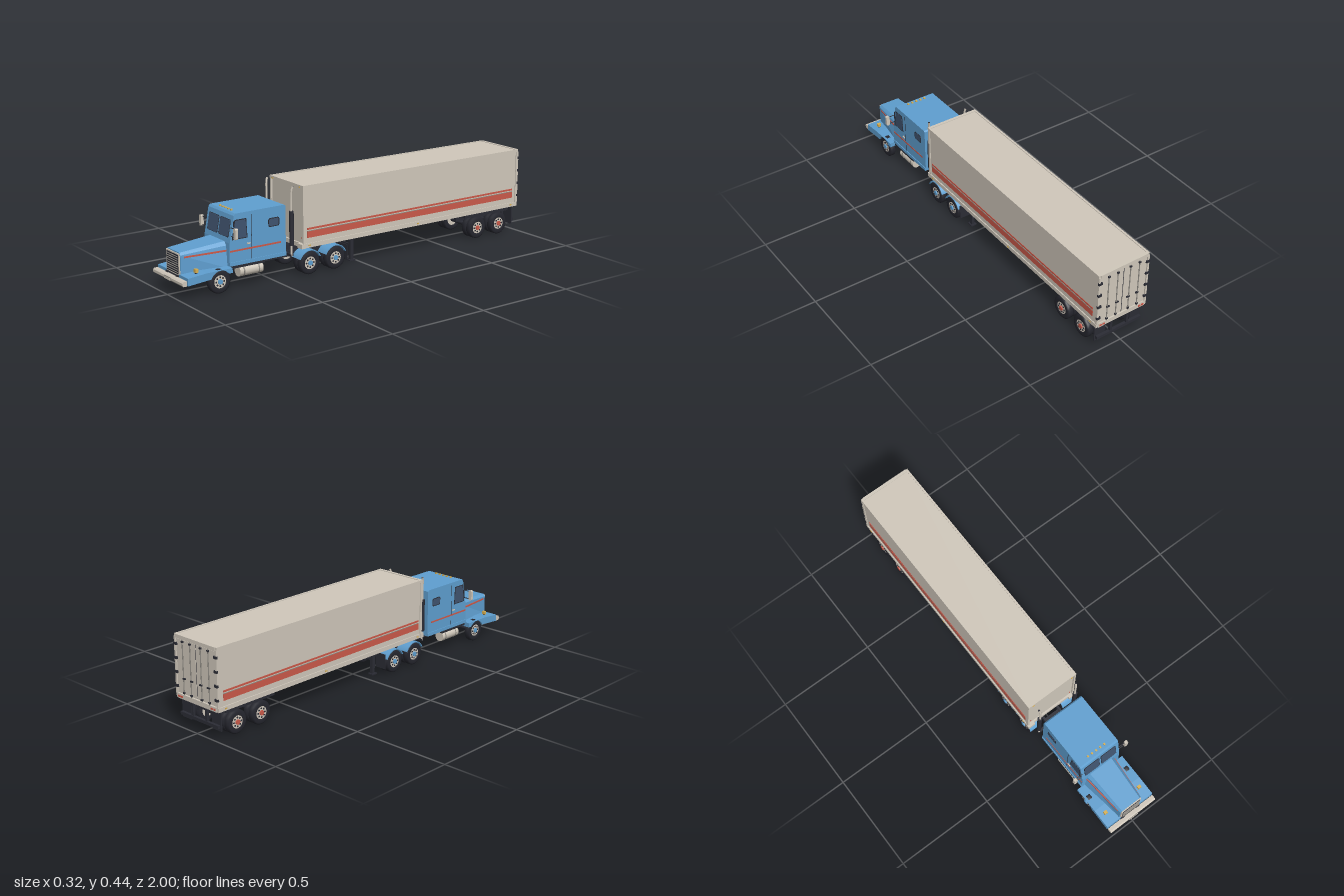
import * as THREE from 'three';

const mat = (name, color) => {
  const m = new THREE.MeshStandardMaterial({ color });
  m.name = name;
  return m;
};
const M = {
  blue: mat('cab blue', 0x5f9fd0), cream: mat('cream', 0xd0c8bb), black: mat('chassis black', 0x2b2c35),
  tyre: mat('tyre', 0x25262e), glass: mat('glass', 0x40546f), red: mat('red', 0xcb5a4a),
  amber: mat('amber', 0xd8b052), steel: mat('steel', 0x8f8b84),
};
const SIDES = [1, -1];

export function createModel() {
  const root = new THREE.Group();
  const add = (name, geo, material, x = 0, y = 0, z = 0) => {
    const m = new THREE.Mesh(geo, material);
    m.name = name;
    m.position.set(x, y, z);
    root.add(m);
    return m;
  };
  // box given by its limits
  const box = (name, m, x0, x1, y0, y1, z0, z1) =>
    add(name, new THREE.BoxGeometry(Math.abs(x1 - x0), y1 - y0, z1 - z0), m, (x0 + x1) / 2, (y0 + y1) / 2, (z0 + z1) / 2);
  const boxPair = (name, m, x0, x1, ...r) => SIDES.forEach(s => box(name, m, s * x0, s * x1, ...r));
  const rod = (name, m, axis, r, len, x, y, z, seg = 12) => {
    const g = new THREE.CylinderGeometry(r, r, len, seg);
    if (axis === 'x') g.rotateZ(Math.PI / 2);
    if (axis === 'z') g.rotateX(Math.PI / 2);
    return add(name, g, m, x, y, z);
  };
  // side outline in (z, y), as points or a Shape, extruded across x from x0 to x1
  const across = (name, m, outline, x0, x1) => {
    const shape = Array.isArray(outline) ? new THREE.Shape(outline.map(p => new THREE.Vector2(...p))) : outline;
    const g = new THREE.ExtrudeGeometry(shape, { depth: Math.abs(x1 - x0), bevelEnabled: false, curveSegments: 16 });
    g.rotateY(-Math.PI / 2);
    return add(name, g, m, Math.max(x0, x1), 0, 0);
  };
  const acrossPair = (name, m, outline, x0, x1) => SIDES.forEach(s => across(name, m, outline, s * x0, s * x1));
  const roundRect = (w, h, r, cx = 0, cy = 0) => {
    const s = new THREE.Shape(), a = w / 2 - r, b = h / 2 - r;
    s.absarc(cx + a, cy + b, r, 0, Math.PI / 2);
    s.absarc(cx - a, cy + b, r, Math.PI / 2, Math.PI);
    s.absarc(cx - a, cy - b, r, Math.PI, Math.PI * 1.5);
    s.absarc(cx + a, cy - b, r, Math.PI * 1.5, Math.PI * 2);
    return s;
  };
  // flat-faced solid between an (x, y) outline at z0 and a matching one at z1 > z0
  const loft = (name, m, z0, p0, z1, p1) => {
    const A = p0.map(p => new THREE.Vector2(...p)), B = p1.map(p => new THREE.Vector2(...p));
    if (THREE.ShapeUtils.area(A) < 0) { A.reverse(); B.reverse(); }
    const v = [], n = A.length;
    const put = (p, z) => v.push(p.x, p.y, z);
    for (let i = 0; i < n; i++) {
      const j = (i + 1) % n;
      put(A[i], z0); put(A[j], z0); put(B[j], z1);
      put(A[i], z0); put(B[j], z1); put(B[i], z1);
    }
    for (const [a, b, c] of THREE.ShapeUtils.triangulateShape(B, [])) {
      put(B[a], z1); put(B[b], z1); put(B[c], z1);
      put(A[a], z0); put(A[c], z0); put(A[b], z0);
    }
    const g = new THREE.BufferGeometry();
    g.setAttribute('position', new THREE.Float32BufferAttribute(v, 3));
    g.computeVertexNormals();
    return add(name, g, m);
  };

  // ---- trailer body
  box('trailerBody', M.cream, -0.136, 0.136, 0.14, 0.434, -0.985, 0.346);
  boxPair('topRail', M.cream, 0.13, 0.14, 0.425, 0.437, -0.992, 0.355);
  boxPair('bottomRail', M.cream, 0.128, 0.141, 0.137, 0.158, -0.992, 0.355);
  boxPair('frontPost', M.cream, 0.13, 0.14, 0.158, 0.425, 0.34, 0.354);
  boxPair('rearPost', M.cream, 0.13, 0.14, 0.158, 0.425, -0.995, -0.98);
  box('frontTopRail', M.cream, -0.13, 0.13, 0.425, 0.437, 0.34, 0.355);
  box('frontSill', M.cream, -0.13, 0.13, 0.137, 0.158, 0.34, 0.355);
  boxPair('frontCornerBlock', M.cream, 0.105, 0.142, 0.136, 0.158, 0.345, 0.365);
  box('rearTopRail', M.cream, -0.13, 0.13, 0.42, 0.437, -0.995, -0.98);
  box('rearSill', M.cream, -0.13, 0.13, 0.137, 0.16, -0.995, -0.98);
  boxPair('wideStripe', M.red, 0.135, 0.138, 0.184, 0.215, -0.96, 0.33);
  boxPair('thinStripe', M.red, 0.135, 0.138, 0.223, 0.232, -0.96, 0.33);
  boxPair('stripeEdge', M.steel, 0.135, 0.1375, 0.215, 0.218, -0.96, 0.33);

  // ---- rear doors and marker lights
  boxPair('rearDoor', M.cream, 0.002, 0.128, 0.163, 0.417, -0.991, -0.984);
  box('doorGap', M.black, -0.002, 0.002, 0.163, 0.417, -0.99, -0.984);
  for (const s of SIDES) {
    for (const x of [0.035, 0.085]) {
      rod('lockRod', M.steel, 'y', 0.0025, 0.262, s * x, 0.29, -0.994, 8);
      box('lockHandle', M.black, s * (x - 0.012), s * (x + 0.004), 0.235, 0.241, -0.998, -0.991);
      for (const y of [0.17, 0.41]) box('rodKeeper', M.black, s * (x - 0.005), s * (x + 0.005), y - 0.004, y + 0.004, -0.998, -0.991);
    }
    for (let i = 0; i < 4; i++) box('doorHinge', M.black, s * 0.122, s * 0.1415, 0.188 + i * 0.066, 0.2 + i * 0.066, -0.998, -0.988);
    for (const x of [0.095, 0.112]) box('tailLight', M.red, s * x, s * (x + 0.012), 0.144, 0.152, -0.998, -0.995);
    for (const z of [-0.95, -0.33, 0.32]) box('sideMarker', M.amber, s * 0.14, s * 0.143, 0.145, 0.151, z - 0.006, z + 0.006);
    box('frontMarker', M.red, s * 0.116, s * 0.121, 0.178, 0.187, 0.345, 0.349);
    box('topMarker', M.amber, s * 0.108, s * 0.118, 0.425, 0.43, 0.354, 0.358);
  }

  // ---- wheels
  const W = 0.0155, Y = 0.058;
  const tyre = new THREE.LatheGeometry(
    [[0.03, -W * 0.85], [0.034, -W], [0.049, -W], [0.0565, -W * 0.65], [0.0565, W * 0.65], [0.049, W], [0.034, W], [0.03, W * 0.85]]
      .map(p => new THREE.Vector2(...p)), 18).rotateZ(Math.PI / 2);
  const rim = new THREE.CylinderGeometry(0.031, 0.031, W * 1.75, 18).rotateZ(Math.PI / 2);
  const hole = new THREE.CylinderGeometry(0.0045, 0.0045, 0.003, 8).rotateZ(Math.PI / 2);
  const hub = new THREE.CylinderGeometry(0.012, 0.012, 0.012, 12).rotateZ(Math.PI / 2);
  const wheelSet = (name, z, xs, hubMat) => {
    for (const s of SIDES) {
      xs.forEach((x) => {
        add(name + 'Tyre', tyre, M.tyre, s * x, Y, z);
        add(name + 'Rim', rim, M.cream, s * x, Y, z);
      });
      const face = s * (xs[xs.length - 1] + W * 0.875);
      add(name + 'Hub', hub, hubMat, face, Y, z);
      for (let i = 0; i < 8; i++) {
        const a = i * Math.PI / 4;
        add(name + 'RimHole', hole, M.black, face, Y + Math.sin(a) * 0.021, z + Math.cos(a) * 0.021);
      }
    }
    rod(name + 'Axle', M.black, 'x', 0.01, 0.22, 0, Y, z);
  };
  const DUAL = [0.083, 0.116];
  wheelSet('front', 0.8, [0.115], M.blue);
  for (const z of [0.31, 0.163]) wheelSet('drive', z, DUAL, M.blue);
  for (const z of [-0.733, -0.877]) wheelSet('trailer', z, DUAL, M.red);

  // ---- trailer undercarriage
  boxPair('bogieRail', M.black, 0.038, 0.056, 0.085, 0.14, -0.95, -0.65);
  for (const z of [-0.66, -0.733, -0.805, -0.877, -0.945]) box('bogieCrossbar', M.black, -0.056, 0.056, 0.1, 0.12, z - 0.007, z + 0.007);
  boxPair('bogieSideRail', M.black, 0.056, 0.128, 0.118, 0.138, -0.94, -0.65);
  boxPair('trailerMudFlap', M.black, 0.07, 0.13, 0.04, 0.138, -0.972, -0.966);
  boxPair('underrideStrut', M.black, 0.04, 0.052, 0.06, 0.14, -0.985, -0.972);
  box('underrideBar', M.black, -0.125, 0.125, 0.055, 0.07, -0.987, -0.973);
  boxPair('landingLeg', M.black, 0.083, 0.099, 0.02, 0.14, 0.036, 0.052);
  boxPair('landingFoot', M.black, 0.076, 0.106, 0.014, 0.02, 0.028, 0.06);
  box('landingBrace', M.black, -0.09, 0.09, 0.085, 0.095, 0.04, 0.048);

  // ---- tractor frame, drive fenders and fuel tanks
  boxPair('frameRail', M.black, 0.038, 0.05, 0.082, 0.11, 0.09, 0.95);
  for (const z of [0.1, 0.235, 0.37, 0.5, 0.62, 0.74, 0.93]) box('frameCrossbar', M.black, -0.04, 0.04, 0.087, 0.105, z - 0.008, z + 0.008);
  box('fifthWheel', M.black, -0.055, 0.055, 0.118, 0.136, 0.17, 0.31);
  box('fifthWheelMount', M.black, -0.05, 0.05, 0.105, 0.12, 0.21, 0.27);
  box('engineSump', M.black, -0.035, 0.035, 0.065, 0.11, 0.77, 0.9);
  boxPair('driveMudFlap', M.black, 0.068, 0.13, 0.035, 0.11, 0.092, 0.097);
  for (const z of [0.31, 0.163]) {
    const arc = new THREE.Shape();
    arc.absarc(z, Y, 0.064, 0.4, Math.PI - 0.4, false);
    arc.absarc(z, Y, 0.06, Math.PI - 0.4, 0.4, true);
    acrossPair('driveFender', M.blue, arc, 0.066, 0.133);
  }
  for (const s of SIDES) {
    rod('fuelTank', M.cream, 'z', 0.026, 0.125, s * 0.087, 0.076, 0.62, 20);
    for (const z of [0.58, 0.66]) rod('tankStrap', M.steel, 'z', 0.0268, 0.006, s * 0.087, 0.076, z, 20);
    box('tankStep', M.black, s * 0.05, s * 0.113, 0.1, 0.115, 0.55, 0.73);
  }

  // ---- cab and sleeper
  across('cab', M.blue, [[0.433, 0.113], [0.74, 0.113], [0.735, 0.22], [0.711, 0.345], [0.703, 0.355], [0.44, 0.356], [0.433, 0.35]], -0.111, 0.111);
  boxPair('cabStripe', M.red, 0.11, 0.1125, 0.178, 0.186, 0.46, 0.735);
  boxPair('doorSeam', M.black, 0.11, 0.1115, 0.125, 0.34, 0.618, 0.6205);
  boxPair('doorHandle', M.cream, 0.11, 0.115, 0.203, 0.209, 0.627, 0.645);
  boxPair('cabSkirt', M.blue, 0.105, 0.115, 0.113, 0.13, 0.433, 0.738);
  acrossPair('doorWindowSeal', M.black, [[0.641, 0.234], [0.723, 0.234], [0.708, 0.326], [0.646, 0.326]], 0.11, 0.112);
  acrossPair('doorWindow', M.glass, [[0.645, 0.238], [0.719, 0.238], [0.705, 0.322], [0.65, 0.322]], 0.11, 0.1128);
  acrossPair('sleeperWindowSeal', M.black, roundRect(0.06, 0.042, 0.01, 0.498, 0.284), 0.11, 0.112);
  acrossPair('sleeperWindow', M.glass, roundRect(0.052, 0.034, 0.008, 0.498, 0.284), 0.11, 0.1128);
  for (const s of SIDES) {
    const pane = (name, m, w, h, d) => {
      const g = new THREE.ExtrudeGeometry(roundRect(w, h, 0.009), { depth: d, bevelEnabled: false });
      add(name, g, m, s * 0.049, 0.284, 0.7225).rotation.x = -0.19;
    };
    pane('windshieldSeal', M.black, 0.089, 0.082, 0.002);
    pane('windshield', M.glass, 0.085, 0.078, 0.003);
  }
  for (let i = -2; i <= 2; i++) box('roofMarker', M.amber, i * 0.0243 - 0.004, i * 0.0243 + 0.004, 0.355, 0.361, 0.68, 0.69);

  // ---- hood, grille and front fenders
  const mirrored = half => [...half, ...half.map(([x, y]) => [-x, y]).reverse()];
  loft('hood', M.blue, 0.732, mirrored([[0.098, 0.1], [0.08, 0.205], [0.064, 0.222]]),
    0.962, mirrored([[0.062, 0.1], [0.062, 0.193], [0.053, 0.204]]));
  for (const s of SIDES) {
    const bar = x => [[s * (x - 0.003), 0.178], [s * (x + 0.002), 0.178], [s * (x + 0.002), 0.186], [s * (x - 0.003), 0.186]];
    loft('hoodStripe', M.red, 0.735, bar(0.0845), 0.945, bar(0.0638));
  }
  box('grilleSurround', M.cream, -0.058, 0.058, 0.098, 0.199, 0.958, 0.967);
  box('grilleBack', M.black, -0.05, 0.05, 0.105, 0.193, 0.966, 0.969);
  for (let i = 0; i < 8; i++) box('grilleSlat', M.steel, -0.049, 0.049, 0.112 + i * 0.0104, 0.1145 + i * 0.0104, 0.968, 0.973);
  const fender = new THREE.Shape();
  [[0.738, 0.113], [0.87, 0.113], [0.968, 0.105], [0.968, 0.07], [0.87, 0.078]]
    .reduce((shape, p) => shape.lineTo(...p), fender.moveTo(0.738, 0.09));
  fender.absarc(0.8, Y, 0.0535, 0.4, Math.PI - 0.65, false);
  acrossPair('frontFender', M.blue, fender, 0.055, 0.137);
  boxPair('turnLight', M.amber, 0.094, 0.111, 0.115, 0.131, 0.9, 0.915);
  boxPair('turnLightBase', M.black, 0.098, 0.107, 0.106, 0.115, 0.903, 0.912);

  // ---- bumper
  across('bumper', M.cream, [[0.972, 0.07], [0.99, 0.07], [0.996, 0.077], [0.996, 0.087], [0.99, 0.093], [0.972, 0.093]], -0.135, 0.135);
  box('plate', M.steel, -0.028, 0.028, 0.073, 0.088, 0.995, 0.998);
  box('plateFace', M.cream, -0.026, 0.026, 0.075, 0.086, 0.996, 0.9995);
  boxPair('bumperBracket', M.black, 0.035, 0.055, 0.075, 0.1, 0.94, 0.975);

  // ---- mirrors and exhaust stacks
  for (const s of SIDES) {
    const head = new THREE.ExtrudeGeometry(roundRect(0.018, 0.052, 0.006), { depth: 0.014, bevelEnabled: false });
    add('mirror', head, M.cream, s * 0.151, 0.272, 0.72);
    for (const y of [0.252, 0.292]) rod('mirrorArm', M.black, 'x', 0.002, 0.04, s * 0.128, y, 0.725, 6);
    rod('mirrorPost', M.black, 'y', 0.0022, 0.085, s * 0.1155, 0.278, 0.715, 6);
    const path = new THREE.CatmullRomCurve3([[0.104, 0.1, 0.397], [0.104, 0.25, 0.397], [0.104, 0.37, 0.397], [0.106, 0.415, 0.396], [0.109, 0.436, 0.39]]
      .map(([x, y, z]) => new THREE.Vector3(s * x, y, z)));
    add('exhaustStack', new THREE.TubeGeometry(path, 20, 0.005, 10), M.cream);
    rod('exhaustShield', M.black, 'y', 0.011, 0.165, s * 0.106, 0.235, 0.397, 14);
    rod('stackTip', M.black, 'y', 0.0045, 0.002, s * 0.109, 0.435, 0.39, 10);
    box('stackBracket', M.black, s * 0.04, s * 0.108, 0.1, 0.11, 0.39, 0.404);
  }
  return root;
}
